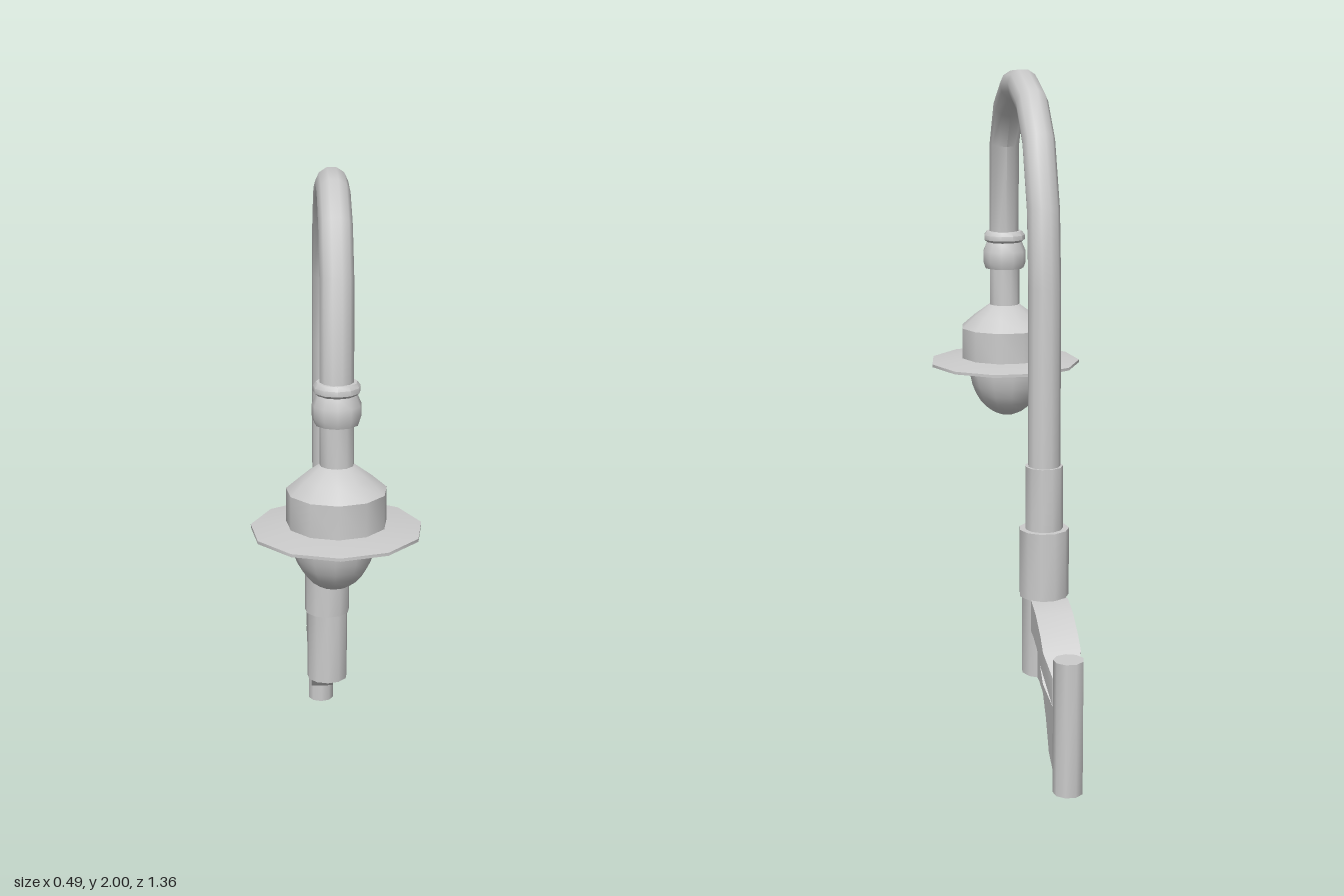
import * as THREE from 'three';
import { toCreasedNormals } from 'three/addons/utils/BufferGeometryUtils.js';

const LAMP_Z = 0.437, POLE_Z = -0.3, MOUNT_Z = -0.64;
const material = new THREE.MeshStandardMaterial({ color: 0xcccccc });

// Curve that passes straight from point to point, one ring per point
class Polyline extends THREE.Curve {
  constructor(points) {
    super();
    this.points = points;
  }
  getPoint(t, target = new THREE.Vector3()) {
    const n = this.points.length - 1;
    const i = Math.min(Math.floor(t * n), n - 1);
    return target.lerpVectors(this.points[i], this.points[i + 1], t * n - i);
  }
  getUtoTmapping(u) {
    return u;
  }
}

export function createModel() {
  const model = new THREE.Group();

  const add = (name, geometry, x = 0, y = 0, z = 0) => {
    const mesh = new THREE.Mesh(toCreasedNormals(geometry, 0.75), material);
    mesh.name = name;
    mesh.position.set(x, y, z);
    model.add(mesh);
  };
  const post = (name, radius, bottom, top, x, z, sides = 11) =>
    add(name, new THREE.CylinderGeometry(radius, radius, top - bottom, sides), x, (top + bottom) / 2, z);
  // Profiles run from bottom to top
  const turned = (name, profile, sides = 11, x = 0) =>
    add(name, new THREE.LatheGeometry(profile.map(([r, y]) => new THREE.Vector2(r, y)), sides), x, 0, LAMP_Z);

  // Upright: stepped sleeves
  post('lowerSleeve', 0.067, 0.24, 0.49, 0, POLE_Z);
  post('upperSleeve', 0.074, 0.48, 0.685, 0, POLE_Z);
  post('poleFerrule', 0.056, 0.68, 0.875, 0, POLE_Z);

  // Pole and swan neck in one bent tube
  const path = [
    [0.8, POLE_Z], [1.4, POLE_Z], [1.62, -0.278], [1.81, -0.199], [1.91, -0.088],
    [1.955, 0.066], [1.947, 0.209], [1.88, 0.339], [1.756, 0.421], [1.44, 0.441],
  ].map(([y, z]) => new THREE.Vector3(0, y, z));
  add('swanNeckPole', new THREE.TubeGeometry(new Polyline(path), path.length - 1, 0.048, 11));

  // Lamp head
  turned('collar', [
    [0, 1.35], [0.063, 1.35], [0.07, 1.37], [0.07, 1.405], [0.057, 1.435],
    [0.067, 1.443], [0.067, 1.458], [0.058, 1.47], [0, 1.472],
  ]);
  turned('lampNeck', [[0.049, 1.2], [0.049, 1.36]]);
  turned('lampHousing', [[0.144, 1.04], [0.144, 1.155], [0.1, 1.193], [0.049, 1.23], [0, 1.235]]);
  turned('shadeBrim', [[0, 1.03], [0.246, 1.033], [0.246, 1.042], [0.144, 1.056], [0, 1.056]]);

  const bulb = [];
  for (let i = 0; i <= 8; i++) {
    const a = (i / 8) * Math.PI / 2;
    bulb.push([0.125 * Math.sin(a), 1.03 - 0.172 * Math.cos(a)]);
  }
  turned('bulb', bulb, 12, -0.008);

  // Wall mount rod
  post('mountRod', 0.044, 0, 0.4, -0.01, MOUNT_Z, 9);

  // Bracket plates: side outlines [z, y] extruded across x, narrowing at the rod
  const plate = (name, outline, halfWidth, endHalfWidth) => {
    const shape = new THREE.Shape(outline.map(([z, y]) => new THREE.Vector2(-z, y)));
    const geometry = new THREE.ExtrudeGeometry(shape, { depth: 2 * halfWidth, bevelEnabled: false });
    geometry.translate(0, 0, -halfWidth).rotateY(Math.PI / 2);
    const p = geometry.attributes.position;
    for (let i = 0; i < p.count; i++) {
      if (p.getZ(i) < -0.58) p.setX(i, Math.sign(p.getX(i)) * endHalfWidth);
    }
    add(name, geometry, -0.008);
  };
  plate('bracketFlange', [
    [-0.34, 0.385], [-0.39, 0.38], [-0.45, 0.365], [-0.5, 0.335], [-0.55, 0.295], [-0.61, 0.25],
    [-0.61, 0.335], [-0.55, 0.39], [-0.51, 0.422], [-0.43, 0.462], [-0.36, 0.478], [-0.34, 0.478],
  ], 0.055, 0.038);
  plate('bracketWeb', [
    [-0.34, 0.24], [-0.39, 0.24], [-0.45, 0.228], [-0.5, 0.17], [-0.548, 0.085], [-0.61, 0.055],
    [-0.61, 0.26], [-0.55, 0.305], [-0.5, 0.345], [-0.45, 0.375], [-0.39, 0.39], [-0.34, 0.395],
  ], 0.037, 0.037);

  return model;
}
